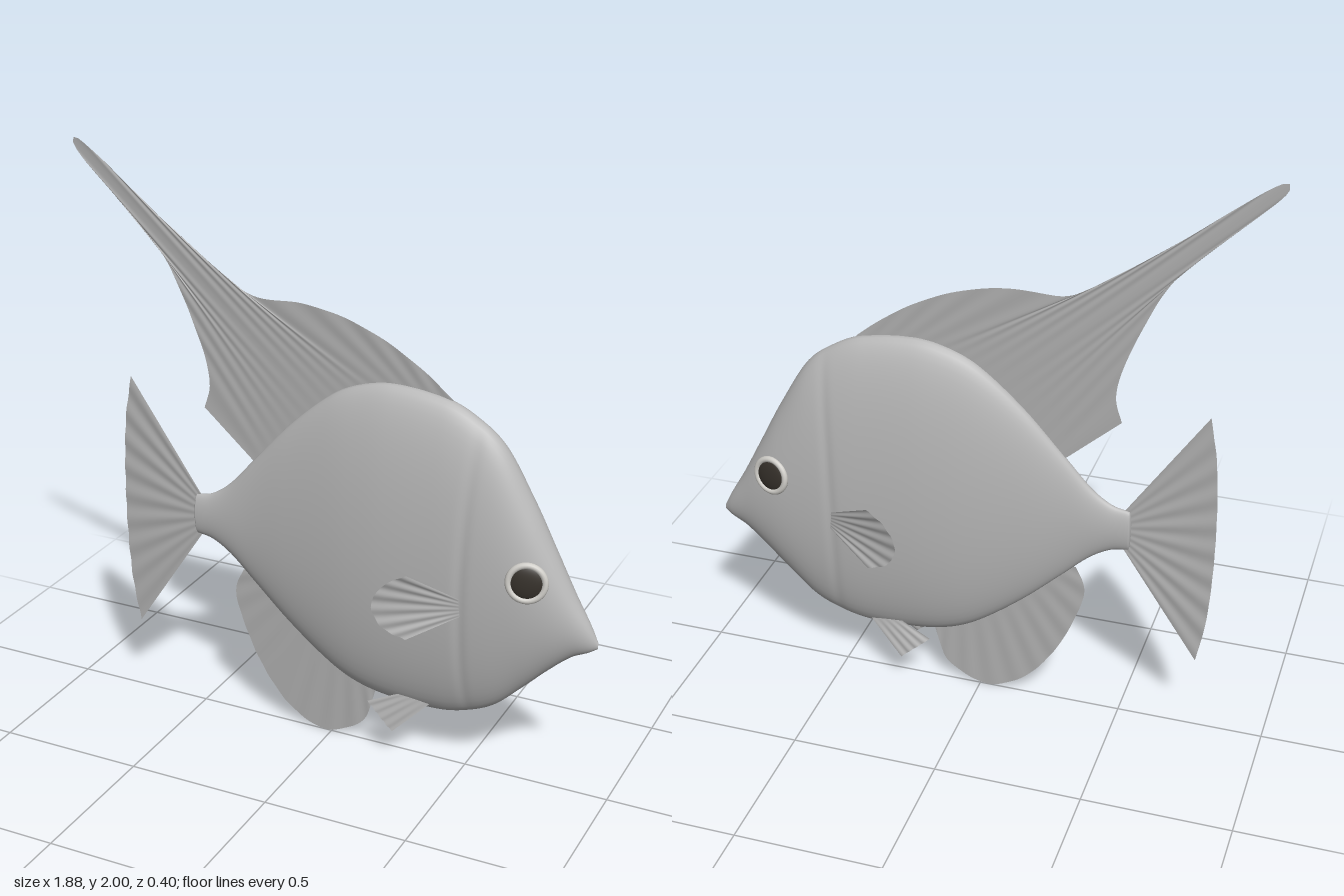
import * as THREE from 'three';

const mat = (name, color, side = THREE.FrontSide) => {
  const m = new THREE.MeshStandardMaterial({ color, side });
  m.name = name;
  return m;
};

// Body stations: x, top y, bottom y, half width
const STATIONS = [
  [-0.51, 0.805, 0.66, 0.02], [-0.45, 0.82, 0.648, 0.024], [-0.38, 0.87, 0.605, 0.031],
  [-0.29, 0.97, 0.52, 0.042], [-0.15, 1.125, 0.39, 0.065], [0, 1.255, 0.275, 0.088],
  [0.1, 1.305, 0.225, 0.1], [0.22, 1.328, 0.2, 0.108], [0.4, 1.308, 0.195, 0.11],
  [0.5, 1.265, 0.215, 0.108], [0.6, 1.185, 0.262, 0.103], [0.7, 1.02, 0.355, 0.092],
  [0.78, 0.865, 0.435, 0.074], [0.855, 0.72, 0.5, 0.048], [0.91, 0.625, 0.528, 0.024],
  [0.94, 0.565, 0.548, 0.004],
];

// Smooth (cubic Hermite) reading of one column at x
function station(x, col) {
  const S = STATIONS, last = S.length - 1;
  let i = 0;
  while (i < last - 1 && x > S[i + 1][0]) i++;
  const slope = (k) => {
    const a = S[Math.max(k - 1, 0)], b = S[Math.min(k + 1, last)];
    return (b[col] - a[col]) / (b[0] - a[0]);
  };
  const h = S[i + 1][0] - S[i][0], t = (x - S[i][0]) / h, u = 1 - t;
  return S[i][col] * (1 + 2 * t) * u * u + S[i + 1][col] * t * t * (3 - 2 * t)
    + h * t * u * (slope(i) * u - slope(i + 1) * t);
}

// Point on the body skin, with a shallow gill groove behind the head
function skin(x, angle) {
  const top = station(x, 1), bottom = station(x, 2);
  const y = (top + bottom) / 2 + Math.cos(angle) * (top - bottom) / 2;
  const gill = 0.5 + 0.08 * (y - 0.6) ** 2;
  const groove = 1 - 0.045 * Math.exp(-(((x - gill) / 0.018) ** 2));
  return new THREE.Vector3(x, y, Math.sin(angle) * station(x, 3) * groove);
}

// Surface grid from a function of (row, column)
function grid(rows, cols, wrap, at) {
  const pos = [], idx = [];
  const n = wrap ? cols : cols + 1;
  for (let i = 0; i <= rows; i++)
    for (let j = 0; j < n; j++) pos.push(...at(i / rows, j / cols).toArray());
  for (let i = 0; i < rows; i++)
    for (let j = 0; j < cols; j++) {
      const a = i * n + j, b = i * n + (j + 1) % n;
      idx.push(a, a + n, b, b, a + n, b + n);
    }
  const g = new THREE.BufferGeometry();
  g.setAttribute('position', new THREE.Float32BufferAttribute(pos, 3));
  g.setIndex(idx);
  g.computeVertexNormals();
  return g;
}

const curve = (pts) => new THREE.CatmullRomCurve3(
  pts.map(([x, y, z = 0]) => new THREE.Vector3(x, y, z)), false, 'centripetal');

// Fin stretched from a root line to an outer edge, rippled along its rays
function finGeometry(root, edge, rays, ripple) {
  const r = curve(root), e = curve(edge);
  r.arcLengthDivisions = e.arcLengthDivisions = 600;
  return grid(8, rays * 8, false, (v, u) => {
    const p = r.getPointAt(u).lerp(e.getPointAt(u), v);
    p.z += ripple * v * (1 - 0.6 * v) * Math.sin(u * rays * Math.PI * 2);
    return p;
  });
}

export function createModel() {
  const fish = new THREE.Group();
  fish.name = 'fish';
  const bodyMat = mat('body grey', 0xb8b8b8);
  const finMat = mat('fin grey', 0xb0b0b0, THREE.DoubleSide);
  const rimMat = mat('eye rim', 0xcfcdc8);
  const pupilMat = mat('pupil', 0x35302a);
  const add = (name, geometry, material, parent = fish) => {
    const m = new THREE.Mesh(geometry, material);
    m.name = name;
    parent.add(m);
    return m;
  };

  // Body, with stations packed closer towards the nose
  const x0 = STATIONS[0][0], x1 = STATIONS[STATIONS.length - 1][0];
  add('body', grid(140, 56, true, (u, a) =>
    skin(x0 + (x1 - x0) * (1 - (1 - u) ** 1.15), -a * Math.PI * 2)), bodyMat);
  const stump = add('tailStump', new THREE.SphereGeometry(1, 20, 12), bodyMat);
  stump.scale.set(0.008, 0.0725, 0.02);
  stump.position.set(x0, 0.7325, 0);

  // Fins on the centre line
  add('dorsalFin', finGeometry(
    [[0.42, 1.3], [0.2, 1.29], [0.02, 1.22], [-0.15, 1.09], [-0.28, 0.96]],
    [[0.425, 1.305], [0.33, 1.38], [0.2, 1.46], [0.05, 1.52], [-0.1, 1.547], [-0.28, 1.547],
      [-0.37, 1.592], [-0.6, 1.755], [-0.935, 2], [-0.94, 1.98], [-0.62, 1.65],
      [-0.53, 1.48], [-0.46, 1.29], [-0.45, 1.21], [-0.472, 1.13]], 16, 0.003), finMat);
  add('tailFin', finGeometry(
    [[-0.49, 0.8], [-0.49, 0.73], [-0.49, 0.665]],
    [[-0.757, 1.195], [-0.785, 1.03], [-0.798, 0.73], [-0.785, 0.43], [-0.757, 0.265]],
    9, 0.005), finMat);
  add('analFin', finGeometry(
    [[-0.31, 0.56], [-0.15, 0.42], [0.02, 0.3], [0.17, 0.22]],
    [[-0.335, 0.555], [-0.367, 0.475], [-0.33, 0.33], [-0.25, 0.17], [-0.15, 0.055],
      [-0.03, 0.002], [0.06, 0.03], [0.125, 0.08], [0.165, 0.2]], 10, 0.003), finMat);

  // Paired parts; side +1 is the front face of the fish's profile
  for (const side of [1, -1]) {
    const label = side > 0 ? 'right' : 'left';
    const flip = (pts) => pts.map(([x, y, z]) => [x, y, z * side]);

    add(label + 'PectoralFin', finGeometry(
      flip([[0.505, 0.67, 0.1], [0.505, 0.64, 0.1], [0.505, 0.61, 0.1]]),
      flip([[0.345, 0.752, 0.17], [0.285, 0.72, 0.185], [0.245, 0.67, 0.195],
        [0.236, 0.625, 0.196], [0.27, 0.56, 0.188], [0.345, 0.522, 0.17]]),
      6, 0.006), finMat);
    add(label + 'PelvicFin', finGeometry(
      flip([[0.27, 0.242, 0.05], [0.325, 0.238, 0.05], [0.385, 0.23, 0.048]]),
      flip([[0.165, 0.195, 0.062], [0.215, 0.155, 0.075], [0.265, 0.113, 0.083]]),
      4, 0.004), finMat);

    // Eye set square to the skin
    const eye = new THREE.Group();
    eye.name = label + 'Eye';
    const ex = 0.72, mid = (station(ex, 1) + station(ex, 2)) / 2;
    const angle = Math.acos((0.77 - mid) / (station(ex, 1) - mid));
    const p = skin(ex, angle);
    const along = skin(ex + 0.03, angle).sub(skin(ex - 0.03, angle));
    const around = skin(ex, angle + 0.05).sub(skin(ex, angle - 0.05));
    const normal = around.cross(along).normalize();
    if (normal.z < 0) normal.negate();
    p.z *= side;
    normal.z *= side;
    eye.position.copy(p);
    eye.quaternion.setFromUnitVectors(new THREE.Vector3(0, 0, 1), normal);
    add('eyeRim', new THREE.TorusGeometry(0.059, 0.011, 12, 40), rimMat, eye);
    add('pupil', new THREE.SphereGeometry(0.055, 32, 20), pupilMat, eye).scale.z = 0.25;
    fish.add(eye);
  }
  return fish;
}
